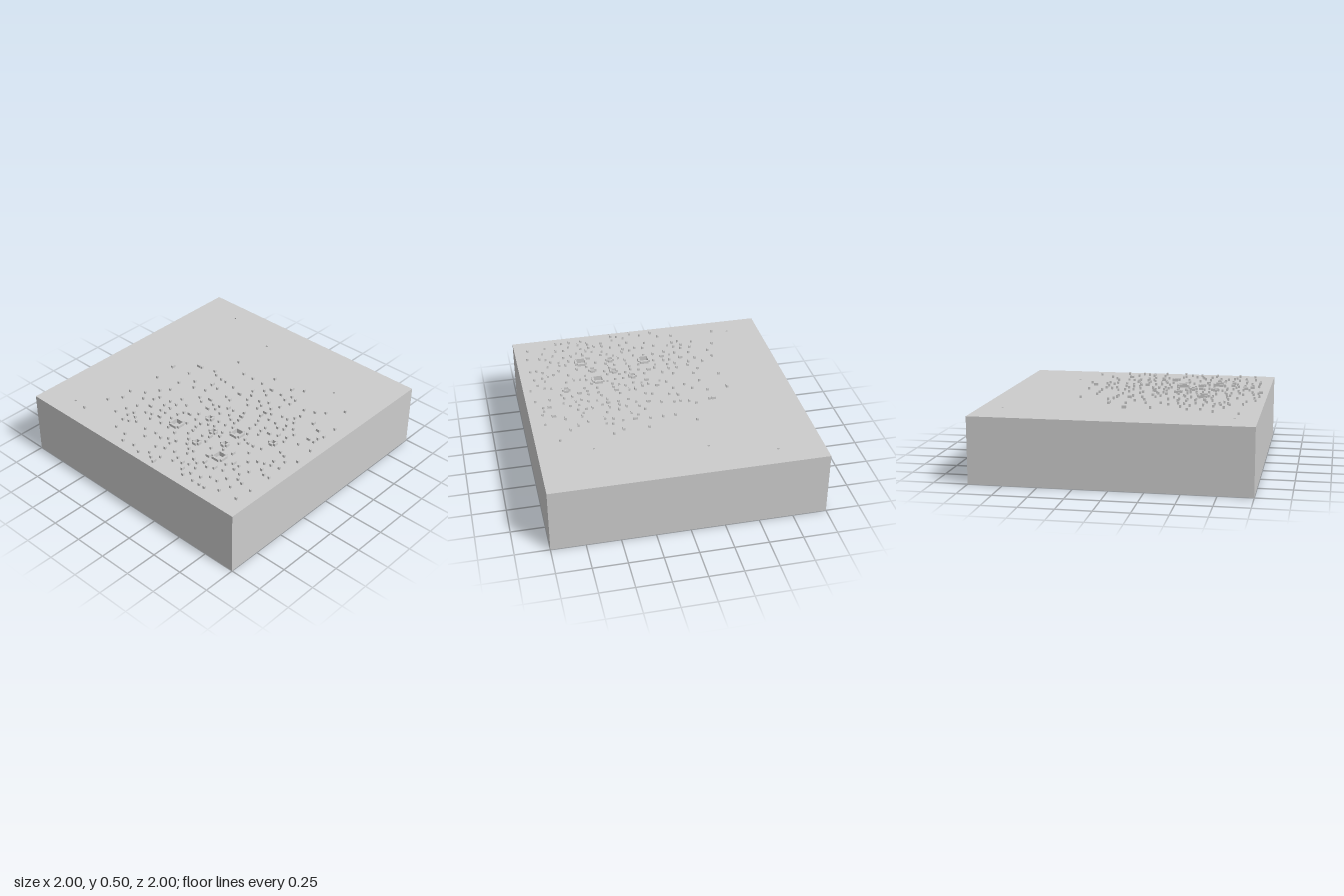
import * as THREE from 'three';
import { mergeGeometries } from 'three/addons/utils/BufferGeometryUtils.js';

const CELL = 2 / 128, TOP = 0.485, BUMP = 0.02, PIT = 0.016;

// Snap a coordinate to the middle of a surface cell
const snap = v => (Math.floor(v / CELL) + 0.5) * CELL;

function seeded(seed) {
  return () => {
    seed = (seed * 1664525 + 1013904223) % 4294967296;
    return seed / 4294967296;
  };
}

// Craters: x, z, width in cells
const craters = [
  [-0.53, 0.02, 6], [-0.32, 0.42, 6], [-0.6, 0.51, 6],
  [-0.32, 0.15, 4], [-0.59, 0.28, 4], [-0.42, 0.28, 4], [-0.47, 0.44, 4], [-0.23, 0.68, 4],
];
// Lone single pits: x, z
const pits = [[-0.84, -0.74], [0.83, -0.67], [0.69, -0.2], [0.55, 0.6]];
// Outlying pebbles: x, z
const outliers = [
  [-0.85, -0.61], [-0.67, -0.57], [-0.57, -0.51], [-0.47, -0.53], [-0.21, -0.51], [-0.03, -0.53],
  [-0.72, -0.41], [-0.41, -0.43], [-0.65, -0.38], [-0.47, -0.38], [-0.57, -0.35], [-0.32, -0.36],
  [-0.15, -0.34], [0.12, -0.38], [0.12, -0.35], [0.15, -0.24], [0.37, -0.2], [0.28, -0.05],
  [0.1, -0.08], [0.38, 0.17], [0.21, 0.21], [0.37, 0.35], [0.41, 0.43], [0.28, 0.46],
  [0.23, 0.58], [0.25, 0.66], [0.31, 0.72], [0.41, 0.82], [0.2, 0.9], [0.1, 0.82],
  [-0.12, 0.93], [-0.28, 0.95], [-0.42, 0.9], [-0.71, 0.82], [-0.87, 0.76], [-0.91, 0.67],
  [-0.92, 0.55], [-0.95, 0.21], [-0.95, 0.05], [-0.93, -0.11], [-0.85, -0.27], [-0.02, 0.89],
];

export function createModel() {
  const group = new THREE.Group();
  const material = new THREE.MeshStandardMaterial({ color: 0xcccccc, flatShading: true });
  const add = (geometry, name) => {
    const mesh = new THREE.Mesh(geometry, material);
    mesh.name = name;
    group.add(mesh);
  };

  // Solid block beneath the surface layer
  const base = TOP - PIT;
  add(new THREE.BoxGeometry(2, base, 2).translate(0, base / 2, 0), 'block');

  // Surface layer with square recesses
  const layer = new THREE.Shape([[-1, -1], [1, -1], [1, 1], [-1, 1]].map(p => new THREE.Vector2(...p)));
  const recess = (x, z, width) => {
    const h = width / 2;
    layer.holes.push(new THREE.Path([[-h, -h], [-h, h], [h, h], [h, -h]]
      .map(([a, b]) => new THREE.Vector2(x + a, -z + b))));
  };
  pits.forEach(([x, z]) => recess(snap(x), snap(z), CELL));

  const boxes = [];
  const bump = (x, z, w = CELL, d = CELL) =>
    boxes.push(new THREE.BoxGeometry(w, BUMP, d).translate(x, TOP + BUMP / 2, z));

  // Raised rims: four bars around each crater, corners left open
  craters.forEach(([x, z, n]) => {
    const inner = (n - 2) * CELL, off = (n - 1) * CELL / 2;
    recess(x, z, inner);
    for (const s of [-1, 1]) {
      bump(x + s * off, z, CELL, inner);
      bump(x, z + s * off, inner, CELL);
    }
  });
  add(new THREE.ExtrudeGeometry(layer, { depth: PIT, bevelEnabled: false })
    .rotateX(-Math.PI / 2).translate(0, base, 0), 'pittedSurface');
  add(mergeGeometries(boxes.splice(0)), 'craterRims');

  // Pebbles thrown around the craters, thinning out from the middle
  const random = seeded(17);
  const placed = outliers.map(([x, z]) => [snap(x), snap(z)]);
  for (let tries = 0; tries < 20000 && placed.length < 235; tries++) {
    const x = snap(-0.93 + random() * 1.25), z = snap(-0.4 + random() * 1.32);
    const reach = Math.hypot((x + 0.38) / 0.75, (z - 0.33) / 0.72);
    if (random() > 1.15 - reach) continue;
    if (craters.some(([a, b, n]) => Math.hypot(a - x, b - z) < n * CELL / 2 + 0.025)) continue;
    if (placed.some(([a, b]) => Math.hypot(a - x, b - z) < 0.045)) continue;
    placed.push([x, z]);
  }
  // Every eighth pebble is two cells long
  placed.forEach(([x, z], i) => bump(x, z, i % 16 === 5 ? 2 * CELL : CELL, i % 16 === 13 ? 2 * CELL : CELL));
  add(mergeGeometries(boxes), 'pebbles');

  return group;
}
